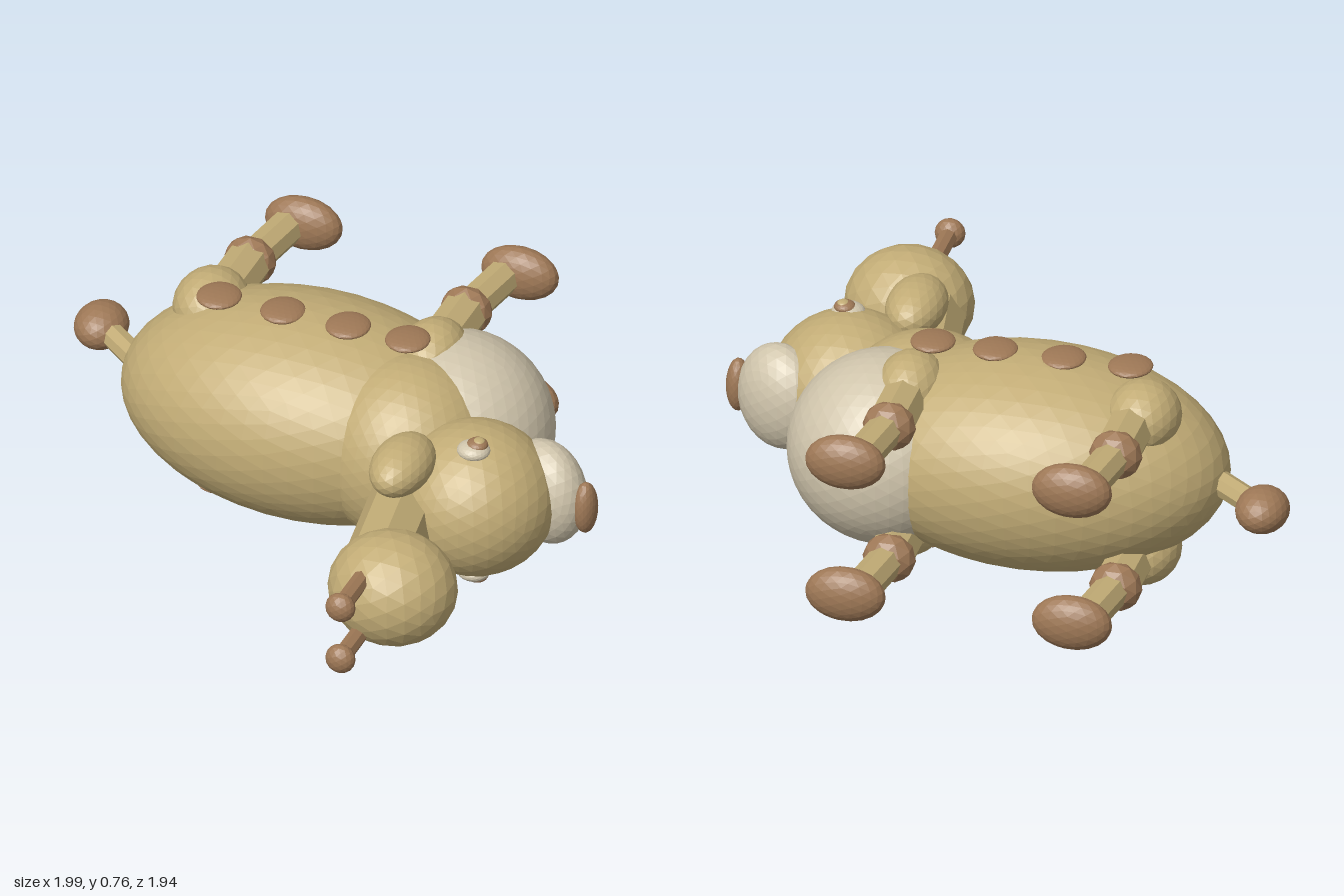
import * as THREE from 'three';

const MID = 0.38; // height of the mirror plane

function material(name, color) {
  const m = new THREE.MeshStandardMaterial({ color, flatShading: true });
  m.name = name;
  return m;
}

export function createModel() {
  const model = new THREE.Group();
  model.name = 'animal';
  const tan = material('tan', 0xc2ac76);
  const brown = material('brown', 0x9e7856);
  const cream = material('cream', 0xd0c5ac);

  // Faceted ellipsoid; y is the offset from the mirror plane
  function blob(name, mat, [x, y, z], [rx, ry, rz], detail = 3, turn = 0) {
    const mesh = new THREE.Mesh(new THREE.IcosahedronGeometry(1, detail), mat);
    mesh.name = name;
    mesh.position.set(x, MID + y, z);
    mesh.scale.set(rx, ry, rz);
    mesh.rotation.y = turn;
    model.add(mesh);
  }

  // Eight-sided rod between two points
  function rod(name, mat, a, b, r) {
    const from = new THREE.Vector3(a[0], MID + a[1], a[2]);
    const to = new THREE.Vector3(b[0], MID + b[1], b[2]);
    const dir = to.clone().sub(from);
    const mesh = new THREE.Mesh(new THREE.CylinderGeometry(r, r, dir.length(), 8), mat);
    mesh.name = name;
    mesh.position.copy(from).add(to).multiplyScalar(0.5);
    mesh.quaternion.setFromUnitVectors(new THREE.Vector3(0, 1, 0), dir.normalize());
    model.add(mesh);
  }

  // Trunk
  blob('body', tan, [-0.1, 0, -0.275], [0.65, 0.365, 0.415], 7);
  blob('shoulder', tan, [0.29, 0, -0.17], [0.31, 0.32, 0.305], 7);
  blob('chest', cream, [0.38, 0, -0.335], [0.33, 0.322, 0.33], 7);

  // Head
  blob('head', tan, [0.6, 0, 0.02], [0.27, 0.257, 0.268], 5);
  blob('muzzle', cream, [0.8, 0, -0.1], [0.16, 0.185, 0.115], 4, -0.45);
  blob('nose', brown, [0.955, 0, -0.06], [0.04, 0.095, 0.05], 3);

  // Neck and crown with two horns
  rod('neck', tan, [0.38, 0, 0], [0.475, 0, 0.58], 0.12);
  blob('crown', tan, [0.555, 0, 0.613], [0.215, 0.19, 0.2], 3);

  // Tail
  rod('tail', tan, [-0.66, 0, -0.25], [-0.89, 0, -0.43], 0.043);
  blob('tailTip', brown, [-0.91, 0, -0.445], [0.089, 0.075, 0.103], 3);

  for (const s of [1, -1]) {
    const side = s > 0 ? 'upper' : 'lower';

    // Eyes
    blob(side + 'Eye', cream, [0.625, s * 0.235, 0.095], [0.056, 0.03, 0.052], 3);
    blob(side + 'Pupil', brown, [0.635, s * 0.255, 0.088], [0.036, 0.02, 0.036], 3);
    blob(side + 'EyeGlint', tan, [0.64, s * 0.268, 0.086], [0.02, 0.01, 0.022], 2);

    // Ears and horns
    blob(side + 'Ear', tan, [0.43, s * 0.212, 0.23], [0.1, 0.086, 0.155], 3);
    rod(side + 'Horn', brown, [0.5, s * 0.1, 0.72], [0.5, s * 0.1, 0.91], 0.031);
    blob(side + 'HornTip', brown, [0.5, s * 0.1, 0.925], [0.051, 0.051, 0.04], 2);

    // Back spots
    for (const x of [-0.415, -0.19, 0.04, 0.25])
      blob(side + 'Spot', brown, [x, s * 0.36, -0.25], [0.074, 0.02, 0.078], 3);

    // Legs
    for (const [leg, x, hip] of [['Front', 0.295, 0.115], ['Hind', -0.467, 0.125]]) {
      const y = s * 0.245;
      const n = side + leg;
      blob(n + 'Hip', tan, [x - (hip - 0.115) * 2, y, -0.36], [hip, 0.118, 0.145], 3);
      rod(n + 'Thigh', tan, [x, y, -0.38], [x, y, -0.63], 0.079);
      blob(n + 'Knee', brown, [x, y, -0.64], [0.09, 0.086, 0.065], 1);
      rod(n + 'Shin', tan, [x, y, -0.63], [x + 0.042, y, -0.9], 0.06);
      blob(n + 'Hoof', brown, [x + 0.077, y, -0.91], [0.135, 0.095, 0.066], 3);
    }
  }
  return model;
}
